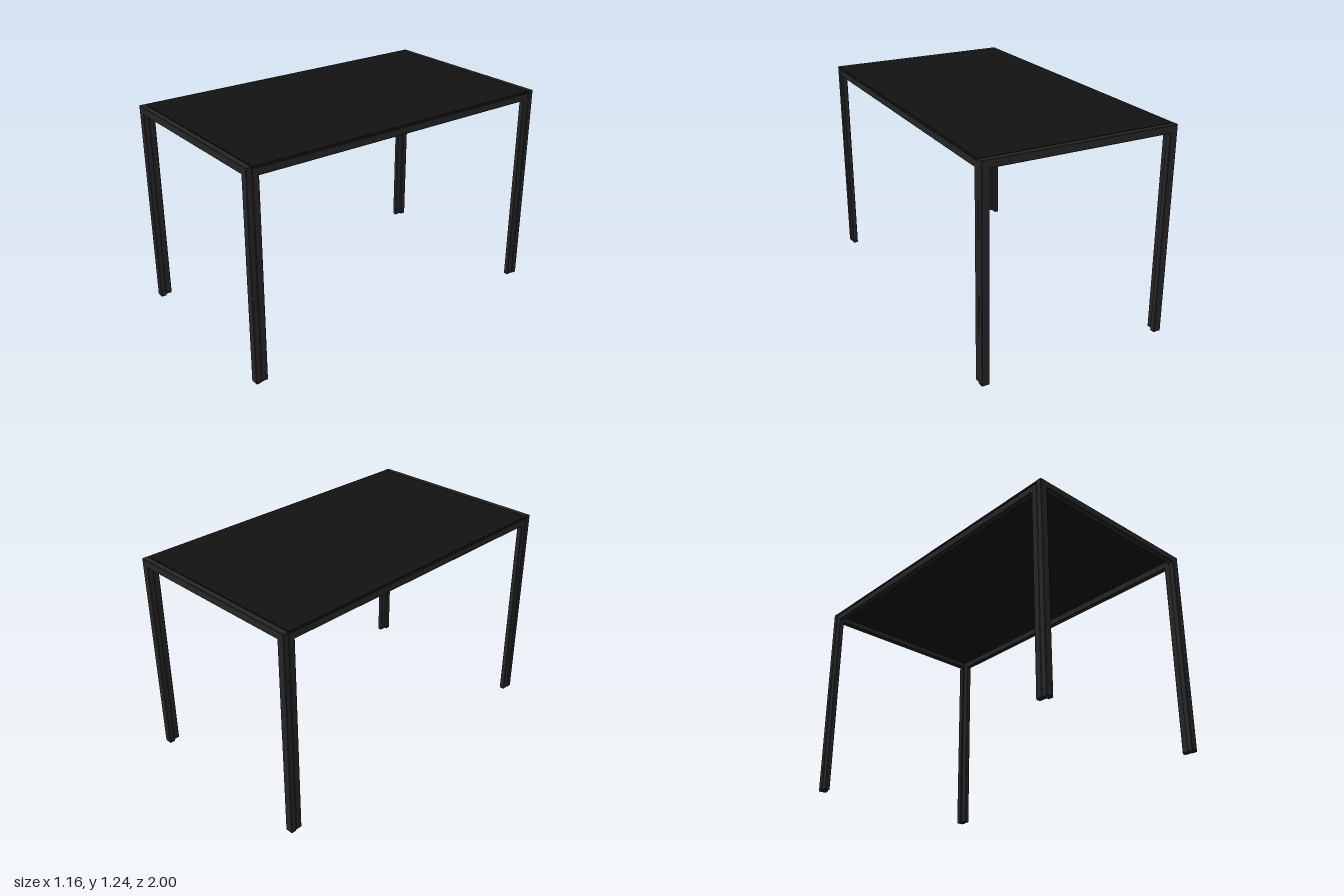
import * as THREE from 'three';

const HALF_W = 0.578, HALF_L = 1, HEIGHT = 1.243;
const BEVEL = 0.003;

// Upside-down U outline, standing on y = 0, extruded with a fine eased edge
function portal(half, height, post, beam, depth) {
  const a = half - BEVEL, b = half - post + BEVEL;
  const top = height - BEVEL, under = height - beam + BEVEL;
  const shape = new THREE.Shape([
    [-a, BEVEL], [-b, BEVEL], [-b, under], [b, under],
    [b, BEVEL], [a, BEVEL], [a, top], [-a, top],
  ].map(([x, y]) => new THREE.Vector2(x, y)));
  const geo = new THREE.ExtrudeGeometry(shape, {
    depth: depth - 2 * BEVEL, bevelEnabled: true,
    bevelThickness: BEVEL, bevelSize: BEVEL, bevelSegments: 1,
  });
  return geo.translate(0, 0, -depth / 2 + BEVEL);
}

export function createModel() {
  const model = new THREE.Group();
  model.name = 'table';
  const frameMat = new THREE.MeshStandardMaterial({ color: 0x262626 });
  const topMat = new THREE.MeshStandardMaterial({ color: 0x121212 });

  const add = (name, geo, mat, x, y, z) => {
    const mesh = new THREE.Mesh(geo, mat);
    mesh.name = name;
    mesh.position.set(x, y, z);
    model.add(mesh);
    return mesh;
  };

  // End frames: outer half of each leg plus the short beam
  const endDepth = 0.035;
  const endGeo = portal(HALF_W, HEIGHT, 0.045, 0.045, endDepth);
  // Side frames: slightly slimmer inner half of each leg plus the long rail
  const sideDepth = 0.031, sideHalf = HALF_L - endDepth;
  const panelThickness = 0.012;
  const sideGeo = portal(sideHalf, HEIGHT - panelThickness, 0.04, 0.043, sideDepth);

  for (const s of [1, -1]) {
    add(s > 0 ? 'frontFrame' : 'backFrame', endGeo, frameMat, 0, 0, s * (HALF_L - endDepth / 2));
    const side = add(s > 0 ? 'leftFrame' : 'rightFrame', sideGeo, frameMat,
      s * (HALF_W - 0.002 - sideDepth / 2), 0, 0);
    side.rotation.y = Math.PI / 2;
  }

  // Tabletop panel, set flush between the end frames
  add('tabletop', new THREE.BoxGeometry(2 * HALF_W - 0.004, panelThickness, 2 * sideHalf - 0.006),
    topMat, 0, HEIGHT - panelThickness / 2, 0);

  return model;
}
